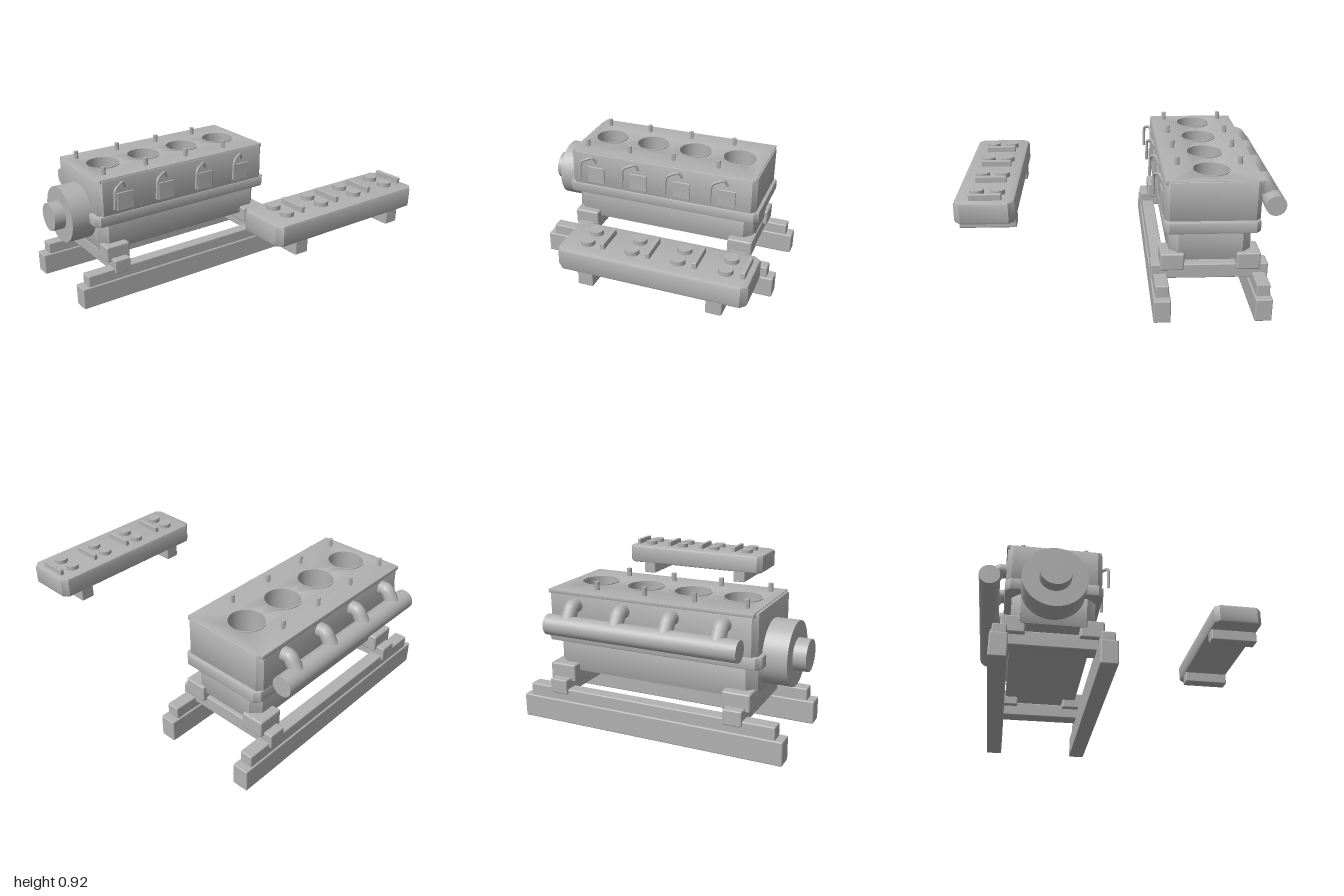
import * as THREE from 'three';
import { toCreasedNormals } from 'three/addons/utils/BufferGeometryUtils.js';
import { RoundedBoxGeometry } from 'three/addons/geometries/RoundedBoxGeometry.js';

const castMetal = new THREE.MeshStandardMaterial({ color: 0xb2b2b2, side: THREE.DoubleSide });
castMetal.name = 'castMetal';

const BORES = [-0.513, -0.182, 0.148, 0.48];
const STUDS = [-0.615, -0.284, 0.049, 0.382];
const BORE_Z = -0.535;

function add(parent, name, geometry, x = 0, y = 0, z = 0) {
  const mesh = new THREE.Mesh(geometry, castMetal);
  mesh.name = name;
  mesh.position.set(x, y, z);
  parent.add(mesh);
  return mesh;
}

// Soft-edged box given by its limits
function box(parent, name, x0, x1, y0, y1, z0, z1, r = 0.008) {
  const g = new RoundedBoxGeometry(x1 - x0, y1 - y0, z1 - z0, 2, r);
  return add(parent, name, g, (x0 + x1) / 2, (y0 + y1) / 2, (z0 + z1) / 2);
}

// Box with cut vertical corners (c), bevelled rims (b) and optional round holes
function block(parent, name, x0, x1, y0, y1, z0, z1, c, b, holeR = 0) {
  const w = (x1 - x0) / 2 - b, d = (z1 - z0) / 2 - b;
  const cx = (x0 + x1) / 2, cz = (z0 + z1) / 2;
  const shape = new THREE.Shape([
    [w - c, -d], [w, c - d], [w, d - c], [w - c, d],
    [c - w, d], [-w, d - c], [-w, c - d], [c - w, -d],
  ].map(([x, y]) => new THREE.Vector2(x, y)));
  if (holeR) {
    for (const bx of BORES) {
      const hole = new THREE.Path();
      hole.absarc(bx - cx, cz - BORE_Z, holeR, 0, Math.PI * 2, true);
      shape.holes.push(hole);
    }
  }
  const g = new THREE.ExtrudeGeometry(shape, {
    depth: y1 - y0 - 2 * b, bevelEnabled: b > 0, bevelThickness: b,
    bevelSize: b, bevelSegments: 2, curveSegments: 24,
  });
  g.rotateX(-Math.PI / 2);
  return add(parent, name, toCreasedNormals(g, 0.6), cx, y0 + b, cz);
}

// Cylinder lying along x
function xCylinder(parent, name, r, x0, x1, y, z) {
  const g = new THREE.CylinderGeometry(r, r, x1 - x0, 40).rotateZ(Math.PI / 2);
  return add(parent, name, g, (x0 + x1) / 2, y, z);
}

// Tube through straight segments with slightly rounded bends
function pipe(parent, name, points, r, sides) {
  const v = points.map(p => new THREE.Vector3(...p));
  const path = new THREE.CurvePath();
  let last = v[0];
  for (let i = 1; i < v.length - 1; i++) {
    const a = v[i].clone().lerp(v[i - 1], 0.25), b = v[i].clone().lerp(v[i + 1], 0.25);
    path.add(new THREE.LineCurve3(last, a));
    path.add(new THREE.QuadraticBezierCurve3(a, v[i], b));
    last = b;
  }
  path.add(new THREE.LineCurve3(last, v[v.length - 1]));
  return add(parent, name, new THREE.TubeGeometry(path, 28, r, sides, false));
}

function buildStand() {
  const stand = new THREE.Group();
  stand.name = 'stand';
  for (const z of [-0.213, -0.845]) {
    box(stand, 'lowerRail', -0.905, 0.87, 0, 0.153, z - 0.054, z + 0.054);
    box(stand, 'upperRail', -0.855, 0.82, 0.145, 0.232, z - 0.043, z + 0.043);
  }
  for (const x of [-0.594, 0.597]) {
    box(stand, 'crossBeam', x - 0.06, x + 0.06, 0.198, 0.296, -0.903, -0.155);
    for (const z of [-0.287, -0.77]) {
      box(stand, 'engineMount', x - 0.09, x + 0.09, 0.268, 0.384, z - 0.076, z + 0.076, 0.012);
    }
  }
  return stand;
}

function buildEngine() {
  const engine = new THREE.Group();
  engine.name = 'engine';
  block(engine, 'crankcase', -0.69, 0.664, 0.33, 0.54, -0.787, -0.267, 0.05, 0.012);
  block(engine, 'flange', -0.738, 0.712, 0.53, 0.61, -0.833, -0.227, 0.025, 0.012);
  block(engine, 'cylinderBlock', -0.712, 0.688, 0.6, 0.865, -0.831, -0.231, 0.025, 0.012, 0.14);
  block(engine, 'deckPlate', -0.695, 0.677, 0.845, 0.87, -0.837, -0.236, 0.002, 0.001, 0.117);

  // Bores with thin raised rims
  const profile = [[0.001, 0.605], [0.114, 0.605], [0.114, 0.876], [0.121, 0.876], [0.121, 0.86]]
    .map(([x, y]) => new THREE.Vector2(x, y));
  const bore = toCreasedNormals(new THREE.LatheGeometry(profile, 40), 0.6);
  const stud = toCreasedNormals(new THREE.CylinderGeometry(0.016, 0.016, 0.07, 6), 0.5);
  BORES.forEach((x, i) => {
    add(engine, 'cylinderBore', bore, x, 0, BORE_Z);
    box(engine, 'sidePlate', x - 0.065, x + 0.065, 0.628, 0.757, -0.25, -0.222, 0.004);
    for (const z of [-0.33, -0.737]) add(engine, 'headStud', stud, STUDS[i], 0.888, z);
    // Bent lead beside each side plate
    pipe(engine, 'lead', [[x - 0.108, 0.665, -0.182], [x - 0.1, 0.81, -0.182],
      [x - 0.02, 0.838, -0.215], [x + 0.005, 0.79, -0.236]], 0.01, 8);
    // Exhaust runner bending down into the manifold
    pipe(engine, 'exhaustRunner', [[x, 0.785, -0.81], [x, 0.785, -0.88], [x, 0.68, -0.945]], 0.046, 16);
  });
  xCylinder(engine, 'exhaustManifold', 0.066, -0.65, 0.62, 0.674, -0.934);

  // Flywheel and its hub
  xCylinder(engine, 'flywheel', 0.201, -0.864, -0.69, 0.566, -0.537);
  xCylinder(engine, 'flywheelHub', 0.099, -0.945, -0.85, 0.566, -0.537);
  return engine;
}

function buildCover() {
  const cover = new THREE.Group();
  cover.name = 'valveCover';
  block(cover, 'coverBody', -0.2, 0.94, 0.72, 0.858, 0.65, 1.0, 0.025, 0.018);
  for (const x of [-0.017, 0.76]) {
    box(cover, 'coverFoot', x - 0.048, x + 0.048, 0.642, 0.73, 0.657, 0.995);
  }
  const cap = new THREE.CylinderGeometry(0.043, 0.043, 0.04, 24);
  for (let i = 0; i < 4; i++) {
    const x = -0.045 + i * 0.278;
    for (const z of [0.757, 0.88]) add(cover, 'roundCap', cap, x, 0.865, z);
    box(cover, 'coverRib', x + 0.09, x + 0.116, 0.84, 0.895, 0.725, 0.912, 0.004);
  }
  return cover;
}

export function createModel() {
  const model = new THREE.Group();
  model.name = 'engineOnStand';
  model.add(buildStand(), buildEngine(), buildCover());
  return model;
}
